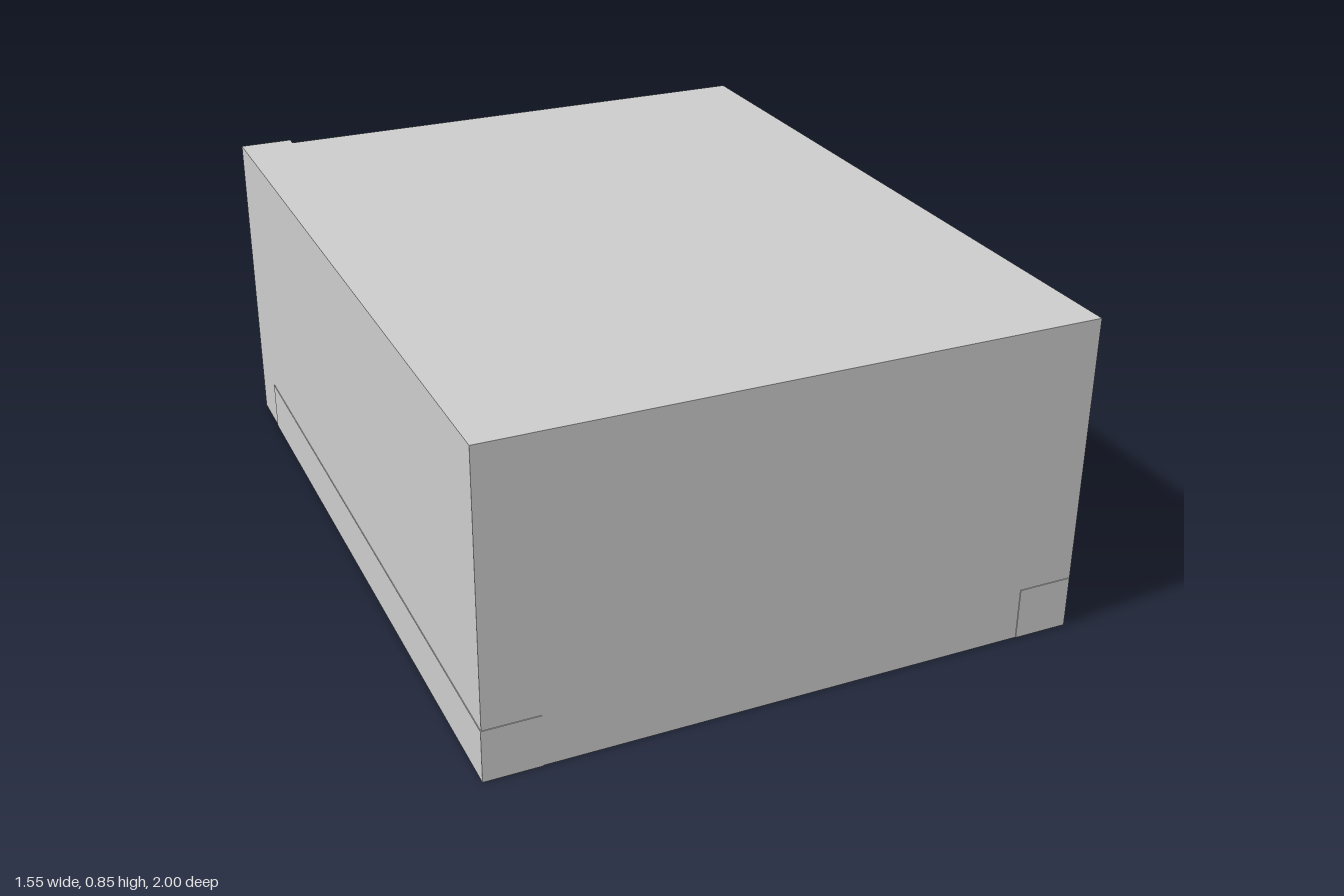
import * as THREE from 'three';

const material = new THREE.MeshStandardMaterial({ color: 0xcccccc, flatShading: true });

// Box given by its lower and upper limits on each axis
function block(name, [x0, x1], [y0, y1], [z0, z1]) {
  const mesh = new THREE.Mesh(new THREE.BoxGeometry(x1 - x0, y1 - y0, z1 - z0), material);
  mesh.name = name;
  mesh.position.set((x0 + x1) / 2, (y0 + y1) / 2, (z0 + z1) / 2);
  return mesh;
}

export function createModel() {
  const model = new THREE.Group();
  model.name = 'boxBuilding';
  const w = 0.775, h = 0.845, lip = 0.002;

  // Main volume
  model.add(block('mainBody', [-w + lip, w], [0, h], [-0.972, 1 - lip]));

  // Full-height strip at the rear corner
  model.add(block('rearCornerStrip', [-w + lip, -0.63], [0, h], [-1, -0.972]));

  // Small raised box on the back wall
  model.add(block('rearBox', [0.05, 0.21], [0.17, 0.285], [-0.995, -0.972]));

  // Shallow plinth bands at the front corners and along the right wall
  for (const side of [-1, 1]) {
    const xs = [side * 0.63, side * (w - lip)].sort((a, b) => a - b);
    model.add(block('frontPlinth', xs, [0, 0.138], [1 - lip, 1]));
  }
  model.add(block('sidePlinth', [-w, -w + lip], [0, 0.138], [-0.85, 1]));

  return model;
}
